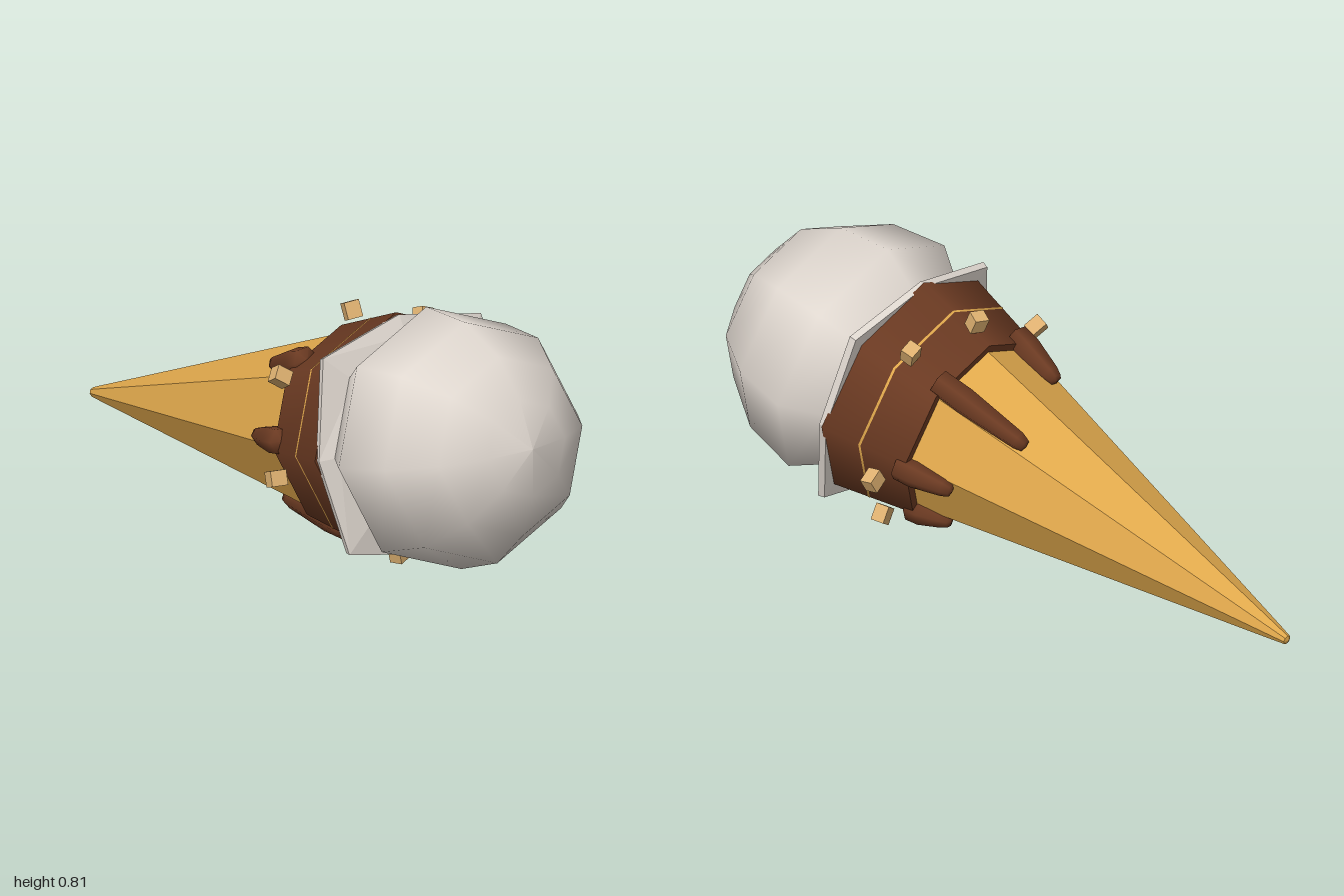
import * as THREE from 'three';

const SIDES = 8;
const paint = (name, color) => {
  const m = new THREE.MeshStandardMaterial({ color });
  m.name = name;
  return m;
};

// Revolve [radius, height] pairs about the cone's axis
const lathe = (profile, sides = SIDES) =>
  new THREE.LatheGeometry(profile.map(([r, y]) => new THREE.Vector2(r, y)), sides);

const faceted = (geometry) => {
  const g = geometry.toNonIndexed();
  g.computeVertexNormals();
  return g;
};

export function createModel() {
  const waffle = paint('waffle', 0xe0a84c);
  const chocolate = paint('chocolate', 0x6b3a22);
  const cream = paint('cream', 0xe0d8d0);
  const nut = paint('nut', 0xddb070);

  const model = new THREE.Group();
  model.name = 'iceCreamCone';

  // Everything is built along +y from the tip, then the cone is laid down
  const cone = new THREE.Group();
  cone.name = 'lyingCone';
  cone.position.set(0, 0.095, -0.99);
  cone.rotation.x = THREE.MathUtils.degToRad(78);
  model.add(cone);

  const add = (name, geometry, material, parent = cone) => {
    const mesh = new THREE.Mesh(geometry, material);
    mesh.name = name;
    parent.add(mesh);
    return mesh;
  };

  // Holder turned about the axis: its local -z points outward, angle 0 is the top
  const spoke = (name, degrees) => {
    const g = new THREE.Group();
    g.name = name;
    g.rotation.y = -THREE.MathUtils.degToRad(degrees);
    cone.add(g);
    return g;
  };

  // Waffle cone with a blunt tip
  add('waffleCone', faceted(lathe([[0, -0.01], [0.014, -0.005], [0.022, 0.03], [0.328, 1.46]])), waffle);

  // Chocolate dip with its step at the back, flat front and a thin waffle line
  add('chocolateBack', faceted(lathe([[0.26, 1.205], [0.296, 1.205]])), chocolate);
  add('chocolateBand', lathe([[0.296, 1.205], [0.355, 1.472]]), chocolate);
  add('chocolateFront', faceted(lathe([[0.355, 1.472], [0, 1.472]])), chocolate);
  add('waffleLine', lathe([[0.3285, 1.346], [0.33, 1.353]]), waffle);

  // Cream collar, its four diagonal corners pushed out past the chocolate
  const collar = lathe([[0, 1.462], [0.345, 1.465], [0.35, 1.485], [0.29, 1.505]]);
  const pos = collar.attributes.position;
  for (let i = 0; i < pos.count; i++) {
    const corner = Math.floor(i / 4) % 2 === 1;
    const rim = i % 4 === 1 || i % 4 === 2;
    if (corner && rim) {
      pos.setX(i, pos.getX(i) * 1.16);
      pos.setZ(i, pos.getZ(i) * 1.16);
    }
  }
  add('creamCollar', faceted(collar), cream);

  // Scoop
  add('scoop', lathe([
    [0.29, 1.47], [0.305, 1.5], [0.383, 1.617], [0.352, 1.79],
    [0.262, 1.925], [0.14, 2.0], [0, 2.03],
  ]), cream);

  // Drips: [angle, distance of the end from the tip]
  const slope = Math.atan(0.214);
  for (const [angle, end] of [[37, 0.92], [95, 1.06], [140, 1.1], [200, 0.94], [275, 1.07], [325, 1.05]]) {
    const len = 1.24 - end;
    const drip = add('drip', lathe([
      [0, 0], [0.02, 0.006], [0.028, 0.03], [0.042, len * 0.7], [0.04, len], [0, len + 0.01],
    ], 6), chocolate, spoke('dripSpoke', angle));
    drip.position.set(0, end, -(0.022 + 0.214 * end - 0.002));
    drip.rotation.x = -slope;
  }

  // Nut pieces: [angle, distance from the tip, radius]
  const nuts = [
    [0, 1.264, 0.345], [35, 1.328, 0.348], [101, 1.268, 0.352], [146, 1.318, 0.35],
    [181.6, 1.346, 0.353], [259, 1.267, 0.352], [308, 1.25, 0.343],
  ];
  nuts.forEach(([angle, along, radius], i) => {
    const piece = add('nutPiece', new THREE.BoxGeometry(0.045, 0.04, 0.05), nut, spoke('nutSpoke', angle));
    piece.position.set(0, along, -radius);
    piece.rotation.set(-slope, 0.3 * Math.sin(i * 2.1), 0.35 * Math.cos(i * 1.7));
  });

  return model;
}
